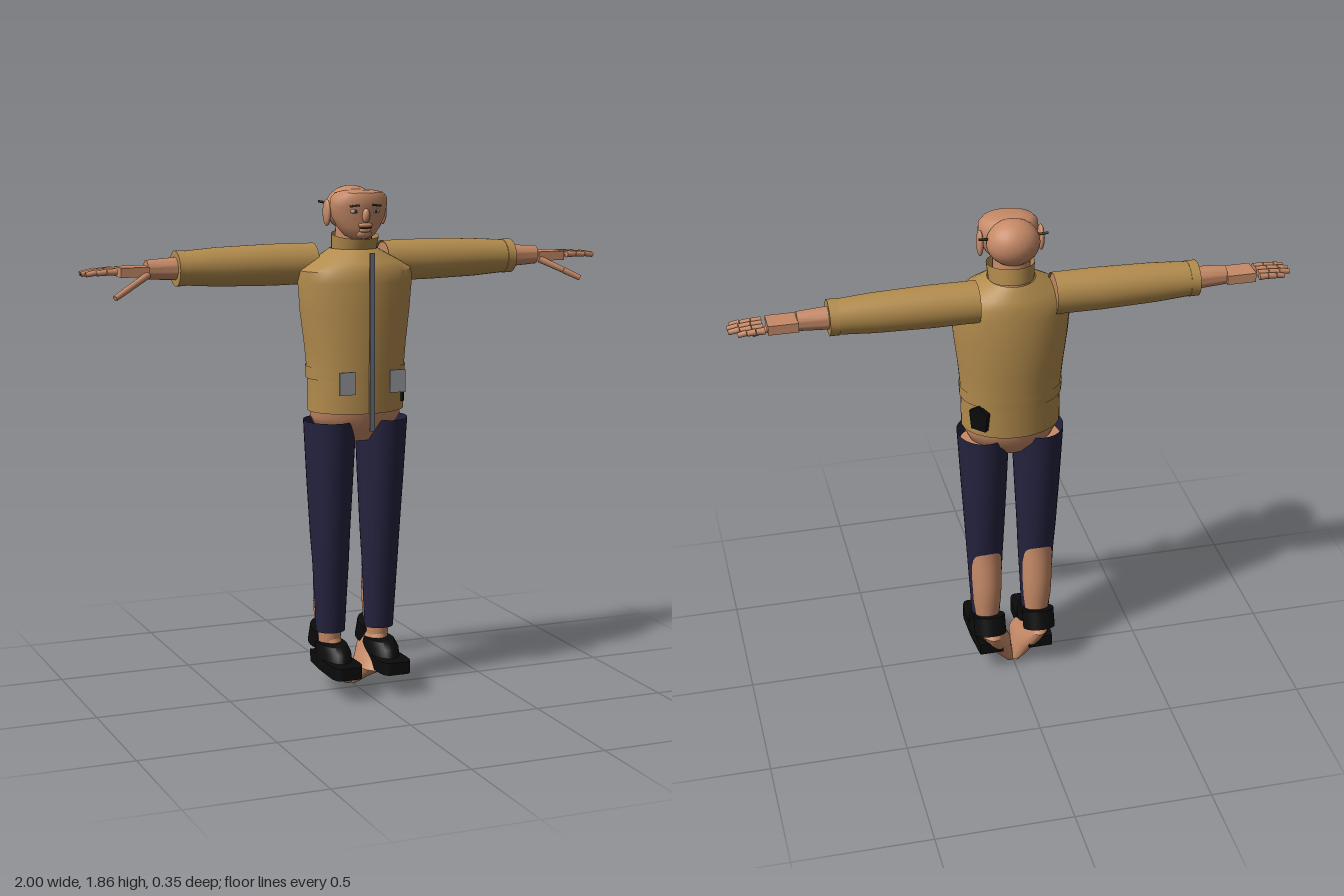
import * as THREE from 'three';
import { toCreasedNormals } from 'three/addons/utils/BufferGeometryUtils.js';

const mat = (name, color, side = THREE.FrontSide) => {
  const m = new THREE.MeshStandardMaterial({ color, side });
  m.name = name;
  return m;
};

// Elliptical cross-sections, bottom to top: [y, centreX, halfWidth, frontZ, backZ]
function loft(rings, capped = true, n = 32) {
  const pos = [], idx = [];
  const rows = rings.slice();
  if (capped) {
    const point = r => [r[0], r[1], 0, (r[3] + r[4]) / 2, (r[3] + r[4]) / 2];
    rows.unshift(point(rings[0]));
    rows.push(point(rings[rings.length - 1]));
  }
  rows.forEach(([y, cx, rx, zf, zb], j) => {
    for (let i = 0; i < n; i++) {
      const a = (i / n) * Math.PI * 2;
      pos.push(cx + rx * Math.sin(a), y, (zf + zb) / 2 + ((zf - zb) / 2) * Math.cos(a));
      if (j === 0) continue;
      const k = (i + 1) % n, lo = (j - 1) * n, hi = j * n;
      idx.push(lo + i, lo + k, hi + k, lo + i, hi + k, hi + i);
    }
  });
  const g = new THREE.BufferGeometry();
  g.setAttribute('position', new THREE.Float32BufferAttribute(pos, 3));
  g.setIndex(idx);
  return toCreasedNormals(g, 0.75);
}

// Flat outline with a small thickness
function plate(points, depth) {
  const shape = new THREE.Shape(points.map(p => new THREE.Vector2(p[0], p[1])));
  return new THREE.ExtrudeGeometry(shape, { depth, bevelEnabled: false });
}

export function createModel() {
  const root = new THREE.Group();
  root.name = 'standingMan';
  const skin = mat('skin', 0xc68a67);
  const jacket = mat('jacketTan', 0xb38c4d, THREE.DoubleSide);
  const navy = mat('trouserNavy', 0x25233f, THREE.DoubleSide);
  const black = mat('black', 0x0b0b0b);
  const steel = mat('zipSteel', 0x6c7079);
  const silver = mat('plateSilver', 0x96999e);
  const brown = mat('hairBrown', 0x3a2a20);
  const white = mat('eyeGrey', 0xb0aca6);

  const add = (name, geo, material, x = 0, y = 0, z = 0, parent = root) => {
    const m = new THREE.Mesh(geo, material);
    m.name = name;
    m.position.set(x, y, z);
    parent.add(m);
    return m;
  };
  const ball = (name, material, x, y, z, rx, ry, rz, parent = root) => {
    const m = add(name, new THREE.SphereGeometry(1, 24, 16), material, x, y, z, parent);
    m.scale.set(rx, ry, rz);
    return m;
  };
  const rod = (name, a, b, r, material, parent) => {
    const p = new THREE.Vector3(...a), q = new THREE.Vector3(...b);
    const d = q.clone().sub(p);
    const m = add(name, new THREE.CylinderGeometry(r * 0.85, r, d.length(), 12), material, 0, 0, 0, parent);
    m.position.copy(p.add(q).multiplyScalar(0.5));
    m.quaternion.setFromUnitVectors(new THREE.Vector3(0, 1, 0), d.normalize());
    return m;
  };

  // Jacket body, collar and waist band
  add('jacket', loft([
    [1.06, 0, 0.18, 0.125, -0.158], [1.19, 0, 0.18, 0.13, -0.163],
    [1.3, 0, 0.19, 0.134, -0.172], [1.42, 0, 0.205, 0.136, -0.178],
    [1.53, 0, 0.215, 0.134, -0.17], [1.57, 0, 0.212, 0.13, -0.163],
    [1.6, 0, 0.165, 0.115, -0.155], [1.645, 0, 0.085, 0.06, -0.125],
  ], false), jacket);
  const collar = add('collar', loft([
    [-0.03, 0, 0.08, 0.085, -0.085], [0.03, 0, 0.085, 0.098, -0.085],
  ], false), jacket, 0, 1.665, -0.028);
  collar.rotation.x = 0.12;
  add('waistBand', loft([
    [1.18, 0, 0.185, 0.131, -0.165], [1.225, 0, 0.187, 0.133, -0.168],
  ], false), jacket);

  // Bare hips and neck
  add('hips', loft([
    [0.95, 0, 0.08, 0.05, -0.08], [1.0, 0, 0.15, 0.08, -0.12],
    [1.04, 0, 0.17, 0.1, -0.135], [1.1, 0, 0.168, 0.1, -0.14],
  ]), skin);
  add('neck', loft([[1.6, 0, 0.068, 0.03, -0.11], [1.73, 0, 0.065, 0.04, -0.1]]), skin);

  // Zip and belt plates
  add('zip', new THREE.BoxGeometry(0.018, 0.64, 0.01), steel, 0, 1.32, 0.144);
  for (const s of [-1, 1])
    add('beltPlate', new THREE.BoxGeometry(0.06, 0.082, 0.009), silver, s * 0.097, 1.178, 0.148);

  // Tool and pouch on the left hip
  const tool = add('hipTool', plate([
    [-0.018, 0.048], [-0.018, 0.028], [-0.007, 0.015], [-0.007, -0.048],
    [0.005, -0.048], [0.009, 0.02], [0.018, 0.028], [0.018, 0.048],
  ], 0.012), black, 0.146, 1.138, 0.062);
  tool.rotation.y = Math.PI / 4;
  const pouch = add('hipPouch', plate([
    [-0.03, -0.048], [0.03, -0.048], [0.038, 0.022], [0, 0.048], [-0.038, 0.022],
  ], 0.034), black, 0.118, 1.138, -0.1);
  pouch.rotation.y = Math.PI * 0.75;

  // Head
  const head = new THREE.Group();
  head.name = 'head';
  root.add(head);
  add('face', loft([
    [1.682, 0, 0.03, 0.06, 0.0], [1.695, 0, 0.055, 0.074, -0.03],
    [1.725, 0, 0.08, 0.081, -0.05], [1.76, 0, 0.098, 0.084, -0.06],
    [1.8, 0, 0.107, 0.09, -0.06], [1.83, 0, 0.104, 0.092, -0.055],
    [1.847, 0, 0.088, 0.084, -0.045], [1.855, 0, 0.05, 0.05, -0.02],
  ]), skin, 0, 0, 0, head);
  ball('skull', skin, 0, 1.786, -0.061, 0.094, 0.082, 0.084, head);
  ball('nose', skin, 0, 1.768, 0.086, 0.014, 0.026, 0.016, head);
  ball('chin', skin, 0, 1.703, 0.062, 0.03, 0.02, 0.02, head);
  ball('upperLip', skin, 0, 1.733, 0.082, 0.028, 0.009, 0.011, head);
  ball('lowerLip', skin, 0, 1.715, 0.078, 0.022, 0.009, 0.011, head);
  ball('mouth', brown, 0, 1.724, 0.082, 0.024, 0.004, 0.008, head);
  for (const s of [-1, 1]) {
    ball('eye', white, s * 0.04, 1.783, 0.078, 0.016, 0.008, 0.008, head);
    ball('pupil', brown, s * 0.04, 1.783, 0.085, 0.005, 0.006, 0.003, head);
    const brow = add('brow', new THREE.BoxGeometry(0.036, 0.007, 0.009), brown, s * 0.042, 1.803, 0.084, head);
    brow.rotation.set(0, s * 0.3, -s * 0.12);
    ball('ear', skin, s * 0.108, 1.775, -0.02, 0.012, 0.048, 0.028, head);
    rod('sideTuft', [s * 0.085, 1.805, -0.06], [s * 0.122, 1.812, -0.07], 0.005, brown, head);
  }

  for (const s of [-1, 1]) {
    const side = s > 0 ? 'left' : 'right';
    // Arm, stretched sideways: sections run along x
    const arm = new THREE.Group();
    arm.name = side + 'Arm';
    arm.position.set(0, 1.588, -0.09);
    root.add(arm);
    const along = (name, rings, material, capped) =>
      add(name, loft(rings.map(([t, ry, rz]) => [t, 0, ry, rz, -rz]), capped).rotateZ(-s * Math.PI / 2), material, 0, 0, 0, arm);
    along('sleeve', [[0.135, 0.074, 0.074], [0.3, 0.075, 0.074], [0.5, 0.07, 0.069], [0.64, 0.06, 0.062]], jacket, false);
    along('cuff', [[0.622, 0.063, 0.066], [0.655, 0.063, 0.066]], jacket, true);
    along('upperArm', [[0.14, 0.068, 0.068], [0.3, 0.06, 0.06], [0.62, 0.045, 0.045]], skin, true);
    along('forearm', [[0.62, 0.042, 0.042], [0.7, 0.038, 0.036], [0.762, 0.034, 0.032]], skin, true);
    add('palm', new THREE.BoxGeometry(0.105, 0.034, 0.084), skin, s * 0.812, -0.004, 0, arm);
    // Fingers: [z, start, end]
    [[-0.045, 0.875, 0.968], [-0.017, 0.878, 0.998], [0.011, 0.878, 1.0], [0.036, 0.878, 0.99]].forEach(([z, a, b]) => {
      const l = (b - a) / 3;
      for (let k = 0; k < 3; k++)
        rod('finger', [s * (a + k * l), 0, z], [s * (a + (k + 0.96) * l), -k * 0.003, z], 0.0125 - k * 0.001, skin, arm);
    });
    rod('thumbBase', [s * 0.765, -0.015, 0.035], [s * 0.845, -0.055, 0.075], 0.013, skin, arm);
    rod('thumbTip', [s * 0.845, -0.055, 0.075], [s * 0.903, -0.085, 0.1], 0.012, skin, arm);

    // Leg, trouser and shoe
    const leg = new THREE.Group();
    leg.name = side + 'Leg';
    root.add(leg);
    add('trouser', loft([
      [0.23, s * 0.097, 0.054, 0.028, -0.072], [0.5, s * 0.098, 0.068, 0.05, -0.084],
      [0.6, s * 0.099, 0.073, 0.06, -0.1], [0.8, s * 0.1, 0.084, 0.077, -0.113],
      [1.025, s * 0.101, 0.095, 0.095, -0.124],
    ], false), navy, 0, 0, 0, leg);
    add('bareLeg', loft([
      [0.14, s * 0.094, 0.038, 0.0, -0.085], [0.22, s * 0.096, 0.044, 0.01, -0.09],
      [0.3, s * 0.097, 0.052, 0.008, -0.105], [0.38, s * 0.097, 0.056, 0.01, -0.103],
      [0.46, s * 0.098, 0.058, 0.02, -0.094], [0.54, s * 0.098, 0.058, 0.03, -0.086],
      [0.7, s * 0.1, 0.06, 0.05, -0.09], [0.98, s * 0.1, 0.085, 0.08, -0.11],
    ]), skin, 0, 0, 0, leg);
    // Bare foot folding down and inward
    add('foot', loft([
      [0.008, s * 0.012, 0.012, -0.045, -0.075], [0.04, s * 0.03, 0.03, 0.0, -0.09],
      [0.085, s * 0.052, 0.05, 0.085, -0.11], [0.12, s * 0.07, 0.05, 0.07, -0.13],
      [0.165, s * 0.088, 0.046, 0.02, -0.148], [0.21, s * 0.095, 0.042, 0.005, -0.105],
    ]), skin, 0, 0, 0, leg);
    // Rounded sole outline, lying flat
    const sole = new THREE.Shape();
    sole.moveTo(-0.045, 0.12);
    sole.lineTo(-0.056, 0.0);
    sole.lineTo(-0.058, -0.12);
    sole.quadraticCurveTo(-0.056, -0.175, -0.03, -0.176);
    sole.lineTo(0.03, -0.176);
    sole.quadraticCurveTo(0.056, -0.175, 0.058, -0.12);
    sole.lineTo(0.056, 0.0);
    sole.lineTo(0.045, 0.12);
    const soleGeo = new THREE.ExtrudeGeometry(sole, { depth: 0.046, bevelEnabled: false }).rotateX(-Math.PI / 2);
    add('shoeSole', soleGeo, black, s * 0.095, 0.09, 0, leg);
    add('shoeUpper', loft([
      [0.12, s * 0.095, 0.058, 0.125, -0.115], [0.165, s * 0.095, 0.057, 0.11, -0.115],
      [0.187, s * 0.095, 0.05, 0.08, -0.11],
    ]), black, 0, 0, 0, leg);
    const cuff = add('shoeCollar', new THREE.CylinderGeometry(0.06, 0.06, 0.072, 28), black, s * 0.095, 0.202, -0.083, leg);
    cuff.rotation.x = 0.36;
  }
  return root;
}
